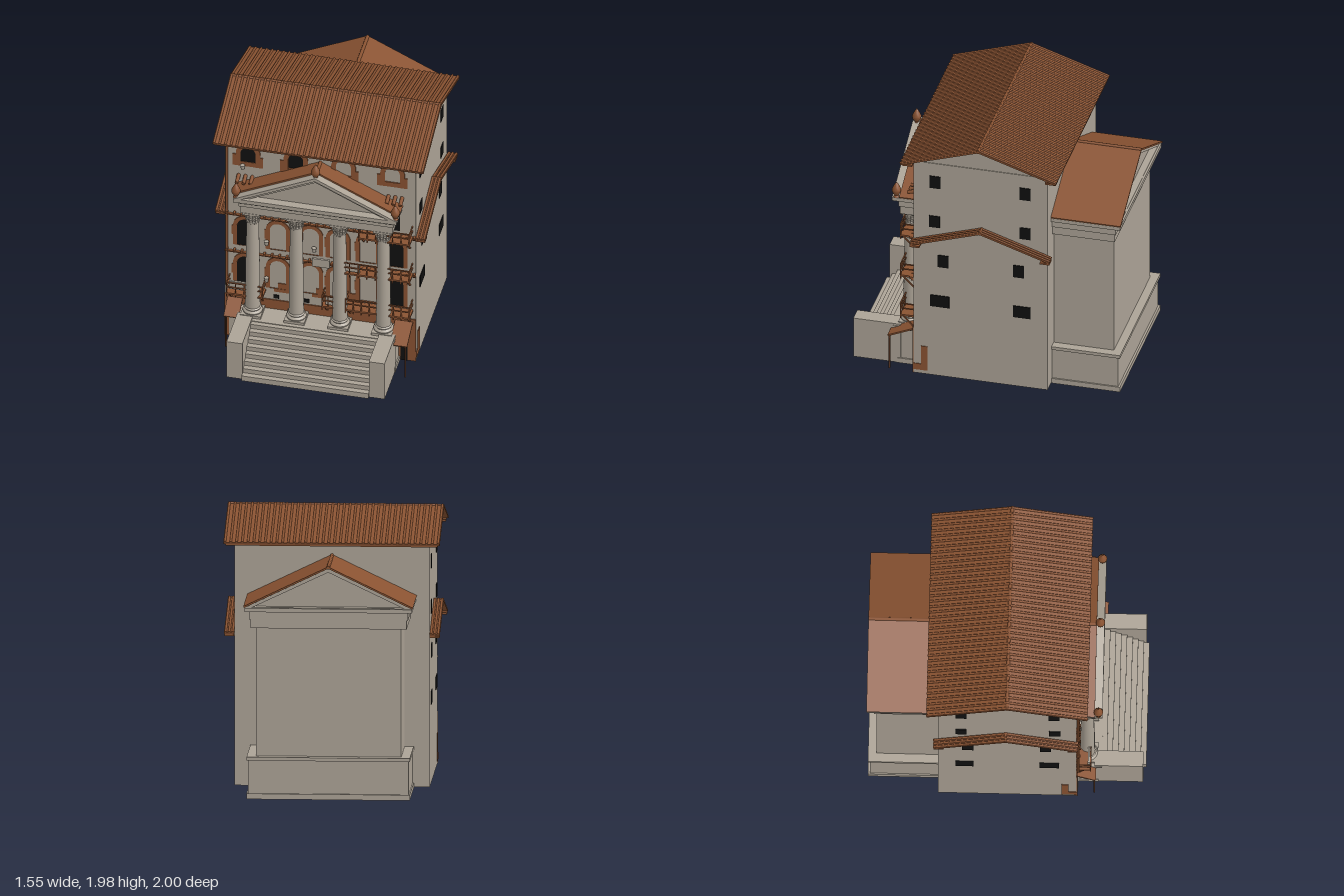
import * as THREE from 'three';
import { mergeGeometries, toCreasedNormals } from 'three/addons/utils/BufferGeometryUtils.js';

const mat = (name, color, side = THREE.FrontSide) => {
  const m = new THREE.MeshStandardMaterial({ color, side });
  m.name = name;
  return m;
};

export function createModel() {
  const model = new THREE.Group();
  const stone = mat('stone', 0xaca396);
  const clay = mat('terracotta', 0x8a5332);
  const wood = mat('darkWood', 0x56331f);
  const black = mat('darkOpening', 0x101010);

  const add = (name, geo, m, parent = model) => {
    const mesh = new THREE.Mesh(geo, m);
    mesh.name = name;
    parent.add(mesh);
    return mesh;
  };
  // box geometry from its limits
  const boxGeo = (x0, x1, y0, y1, z0, z1) =>
    new THREE.BoxGeometry(x1 - x0, y1 - y0, z1 - z0).translate((x0 + x1) / 2, (y0 + y1) / 2, (z0 + z1) / 2);
  const box = (name, m, ...b) => add(name, boxGeo(...b), m);
  const merged = (name, list, m, parent) => add(name, mergeGeometries(list), m, parent);
  const polygon = pts => new THREE.Shape(pts.map(p => new THREE.Vector2(...p)));
  const extrude = (shape, depth, z) =>
    new THREE.ExtrudeGeometry(shape, { depth, bevelEnabled: false, curveSegments: 10 }).translate(0, 0, z);

  // gable roof with its ridge along x, optionally covered by rows of round tiles
  function gableRoof(name, width, run, eaveY, ridgeY, thick, rows, m = clay) {
    const g = new THREE.Group();
    g.name = name;
    const rise = ridgeY - eaveY, len = Math.hypot(run, rise), parts = [], tiles = [];
    for (const s of [1, -1]) {
      const place = geo => geo.rotateX(s * Math.atan2(rise, run)).translate(0, (eaveY + ridgeY) / 2, s * run / 2);
      parts.push(place(new THREE.BoxGeometry(width, thick, len)));
      for (let i = 0; i < rows; i++) {
        const x = -width / 2 + 0.012 + i * (width - 0.024) / Math.max(1, rows - 1);
        tiles.push(place(new THREE.CylinderGeometry(0.009, 0.009, len, 6).rotateX(Math.PI / 2).translate(x, thick / 2, 0)));
      }
    }
    parts.push(new THREE.CylinderGeometry(0.013, 0.013, width, 8).rotateZ(Math.PI / 2).translate(0, ridgeY, 0));
    merged('roofSlopes', parts, m, g);
    if (rows) merged('roofTiles', tiles, m, g);
    model.add(g);
    return g;
  }

  // ---- apartment block
  box('blockWalls', stone, -0.7, 0.7, 0.01, 1.78, -0.485, 0.505);
  const gable = polygon([[-0.5, 1.78], [0.485, 1.78], [0, 1.955]]);
  add('blockGable', extrude(gable, 1.39, -0.695).rotateY(-Math.PI / 2), stone).rotation.y = Math.PI;
  gableRoof('blockRoof', 1.55, 0.575, 1.782, 1.968, 0.014, 38).position.z = 0.01;
  for (const s of [1, -1]) box('eaveBoard', clay, -0.76, 0.76, 1.765, 1.778, s > 0 ? 0.5 : -0.56, s > 0 ? 0.575 : -0.48);

  // side lean-to roofs and side windows
  const windows = [[0.345, 1.625, 0.08, 0.1], [-0.32, 1.625, 0.08, 0.1], [0.35, 1.295, 0.08, 0.095], [-0.32, 1.295, 0.08, 0.095],
    [0.285, 0.97, 0.08, 0.1], [-0.272, 0.97, 0.08, 0.1], [0.31, 0.633, 0.14, 0.095], [-0.295, 0.633, 0.13, 0.095]];
  for (const s of [1, -1]) {
    gableRoof('sideRoof', 0.075, 0.515, 1.118, 1.285, 0.014, 3).position.set(s * 0.7355, 0, 0);
    for (const z of [0.48, -0.48]) add('sideEave', new THREE.BoxGeometry(0.07, 0.014, 0.07), clay).position.set(s * 0.735, 1.105, z);
    const panes = windows.map(([z, y, w, h]) => new THREE.BoxGeometry(0.008, h, w).translate(s * 0.701, y, z));
    merged('sideWindows', panes, black);
    box('sideBrickPatch', clay, s * 0.702 - 0.003, s * 0.702 + 0.003, 0.04, 0.24, 0.4, 0.45);
    box('sideBrickFoot', clay, s * 0.702 - 0.003, s * 0.702 + 0.003, 0.04, 0.09, 0.45, 0.505);
  }

  // ---- street front
  const F = 0.505;
  box('groundFloorBrick', clay, -0.703, 0.703, 0.01, 0.385, F, F + 0.008);
  box('leftDoor', stone, -0.67, -0.59, 0.01, 0.27, F + 0.006, F + 0.012);
  box('rightDoor', black, 0.59, 0.64, 0.01, 0.27, F + 0.006, F + 0.012);
  // arched outline standing on y
  const arch = (x, y, w, h, C = THREE.Shape) => {
    const s = new C(), r = w / 2;
    s.moveTo(x - r, y).lineTo(x + r, y).lineTo(x + r, y + h - r);
    s.absarc(x, y + h - r, r, 0, Math.PI, false);
    s.lineTo(x - r, y);
    return s;
  };
  function archedOpening(x, y, w, h, ring, fill) {
    const surround = arch(x, y, w + ring * 2, h + ring);
    surround.holes.push(arch(x, y + 0.001, w, h, THREE.Path));
    add('brickArch', extrude(surround, 0.008, F), clay);
    if (fill) add('archOpening', extrude(arch(x, y, w, h), 0.004, F), fill);
  }
  [[-0.53, black], [-0.18, black], [0.17, null], [0.53, null]].forEach(([x, fill]) => {
    archedOpening(x, 1.6, 0.11, 0.13, 0.035, fill);
    box('windowBricks', clay, x - 0.115, x - 0.055, 1.56, 1.66, F, F + 0.007);
    box('windowBricks', clay, x + 0.055, x + 0.11, 1.56, 1.65, F, F + 0.007);
    box('windowSill', clay, x - 0.09, x + 0.09, 1.56, 1.6, F, F + 0.006);
  });
  for (const [y, h] of [[0.84, 0.235], [0.49, 0.25]]) {
    for (const x of [-0.55, -0.31, -0.07, 0.13, 0.35, 0.55]) {
      archedOpening(x, y, 0.12, h, 0.03, Math.abs(x) > 0.5 ? black : null);
      box('archBricks', clay, x - 0.1, x - 0.06, y + 0.09, y + 0.17, F, F + 0.006);
    }
  }
  for (const x of [-0.55, 0.55]) box('tallWindow', black, x - 0.035, x + 0.035, 1.17, 1.36, F, F + 0.006);
  for (const x of [-0.28, 0.0, 0.25]) {
    box('brickPatch', clay, x - 0.06, x + 0.06, 0.46, 0.49, F, F + 0.006);
    box('brickPatch', clay, x - 0.03, x + 0.03, 0.49, 0.54, F, F + 0.006);
    box('brickPatch', clay, x - 0.08, x + 0.08, 1.14, 1.23, F, F + 0.006);
  }
  const cellars = [], beams = [];
  for (let i = 0; i < 6; i++) cellars.push(boxGeo(-0.57 + i * 0.225, -0.53 + i * 0.225, 0.4, 0.43, F, F + 0.006));
  for (const y of [0.785, 1.12]) for (let i = 0; i < 26; i++) beams.push(boxGeo(-0.69 + i * 0.055, -0.675 + i * 0.055, y, y + 0.018, F, F + 0.03));
  merged('cellarWindows', cellars, black);
  merged('beamEnds', beams, clay);
  for (const y of [0.775, 1.11]) box('floorBand', clay, -0.7, 0.7, y, y + 0.01, F, F + 0.02);
  add('drainPipe', new THREE.CylinderGeometry(0.009, 0.009, 1.3, 8), clay).position.set(-0.685, 1.12, F + 0.012);

  // balconies with railings and braces
  function balcony(x0, x1, y, posts) {
    const z = 0.61, p = [boxGeo(x0, x1, y, y + 0.014, F, z)];
    for (const h of [0.06, 0.1]) {
      p.push(boxGeo(x0, x1, y + h, y + h + 0.008, z - 0.008, z));
      for (const x of [x0, x1 - 0.008]) p.push(boxGeo(x, x + 0.008, y + h, y + h + 0.008, F, z));
    }
    for (let i = 0; i <= posts; i++) {
      const x = x0 + (x1 - x0 - 0.008) * i / posts;
      p.push(boxGeo(x, x + 0.008, y - 0.02, y + 0.108, z - 0.008, z));
    }
    for (const x of [x0 + 0.02, x1 - 0.02])
      p.push(new THREE.BoxGeometry(0.009, 0.009, 0.13).rotateX(-Math.PI / 4).translate(x, y - 0.045, F + 0.05));
    merged('balcony', p, clay);
  }
  balcony(0.3, 0.68, 1.12, 6);
  balcony(0.17, 0.68, 0.785, 8);
  balcony(0.2, 0.68, 0.455, 8);
  balcony(0.03, 0.17, 0.455, 3);
  balcony(-0.67, -0.4, 0.455, 4);
  for (const [x, y] of [[-0.65, 0.5], [0.18, 0.81], [0.06, 0.48], [-0.04, 0.81]])
    box('balconyPanel', stone, x, x + 0.13, y, y + 0.07, 0.585, 0.6);
  for (const [x, y] of [[-0.565, 1.55], [-0.565, 1.22], [-0.39, 0.89], [-0.04, 0.89], [-0.39, 0.56]])
    add('flowerPot', new THREE.CylinderGeometry(0.018, 0.012, 0.035, 8), stone).position.set(x, y + 0.018, F + 0.03);
  for (const s of [1, -1]) merged('roofBeams', [0.5, 0.55, 0.6].map(x =>
    new THREE.CylinderGeometry(0.014, 0.014, 0.08, 8).rotateX(Math.PI / 2 + 0.3).translate(s * x, 1.46, 0.535)), clay);

  // shop awnings on poles
  for (const [x0, x1, z] of [[0.55, 0.68, 0.7], [-0.68, -0.57, 0.64]]) {
    const run = z - F, drop = 0.085;
    add('awning', new THREE.BoxGeometry(x1 - x0, 0.012, Math.hypot(run, drop)).rotateX(Math.atan2(drop, run)), clay)
      .position.set((x0 + x1) / 2, 0.318, F + run / 2);
    const px = x0 > 0 ? x1 - 0.015 : x0 + 0.015;
    add('awningPole', new THREE.CylinderGeometry(0.007, 0.007, 0.275, 6), wood).position.set(px, 0.1375, z - 0.008);
  }

  // ---- temple podium and stairs
  box('podium', stone, -0.575, 0.575, 0, 0.29, -0.975, 0.67);
  box('podiumFoot', stone, -0.585, 0.585, 0, 0.04, -0.99, 0.66);
  box('podiumCap', stone, -0.585, 0.585, 0.28, 0.305, -0.99, 0.685);
  for (const s of [1, -1]) box('stairCheek', stone, s * 0.522 - 0.058, s * 0.522 + 0.058, 0, 0.32, 0.63, 0.98);
  const steps = [];
  for (let i = 0; i < 8; i++) steps.push(boxGeo(-0.465, 0.465, 0, 0.3 - i * 0.0365, 0.65, 0.72 + i * 0.04));
  merged('stairs', steps, stone);

  // cella, entablature and cornice
  box('cella', stone, -0.52, 0.52, 0.3, 1.25, -0.93, 0.4);
  box('architrave', stone, -0.56, 0.56, 1.235, 1.3, -0.945, 0.64);
  box('frieze', stone, -0.57, 0.57, 1.3, 1.36, -0.955, 0.65);
  box('cornice', stone, -0.6, 0.6, 1.36, 1.388, -0.995, 0.69);
  const dentils = [];
  for (let i = 0; i < 28; i++) dentils.push(boxGeo(-0.565 + i * 0.041, -0.542 + i * 0.041, 1.34, 1.362, 0.64, 0.67));
  merged('dentils', dentils, stone);

  // pediments
  const tri = (w, y0, y1) => [[-w, y0], [w, y0], [0, y1]];
  add('pedimentBody', extrude(polygon(tri(0.57, 1.385, 1.66)), 1.56, -0.93), stone);
  const rake = (inset, depth, z) => {
    const s = polygon(tri(0.6, 1.388, 1.678));
    s.holes.push(new THREE.Path(tri(0.6 - inset * 2.6, 1.392, 1.678 - inset * 1.25).map(p => new THREE.Vector2(...p))));
    add('rakingCornice', extrude(s, depth, z), stone);
  };
  rake(0.022, 0.06, 0.63);
  rake(0.045, 0.035, 0.63);
  rake(0.022, 0.05, -0.98);
  const templeRoof = gableRoof('templeRoof', 1.635, 0.605, 1.396, 1.688, 0.012, 0);
  templeRoof.rotation.y = Math.PI / 2;
  templeRoof.position.z = -0.1825;

  // roof finials
  const bud = [[0, 0], [0.022, 0], [0.014, 0.015], [0.03, 0.04], [0.034, 0.06], [0.024, 0.085], [0.009, 0.112], [0, 0.125]];
  const lathe = (pts, n) => toCreasedNormals(new THREE.LatheGeometry(pts.map(p => new THREE.Vector2(...p)), n), 0.7);
  for (const [x, y] of [[0, 1.66], [-0.585, 1.39], [0.585, 1.39]])
    add('finial', lathe(bud, 12), clay).position.set(x, y, 0.66);

  // columns with moulded bases and leafy capitals
  const shaft = lathe([[0, 0.325], [0.07, 0.325], [0.073, 0.336], [0.066, 0.347], [0.058, 0.352], [0.064, 0.362], [0.055, 0.372],
    [0.053, 0.45], [0.051, 0.75], [0.044, 1.13], [0.049, 1.135], [0.049, 1.145], [0.042, 1.15], [0.045, 1.19], [0.062, 1.222], [0, 1.222]], 20);
  const leaves = [];
  for (const [y, r, n] of [[1.165, 0.05, 8], [1.195, 0.057, 8]])
    for (let i = 0; i < n; i++)
      leaves.push(new THREE.BoxGeometry(0.02, 0.032, 0.01).rotateX(0.3).translate(0, y, r).rotateY((i + (y > 1.18 ? 0.5 : 0)) * Math.PI * 2 / n));
  const leafGeo = mergeGeometries(leaves);
  for (const x of [-0.48, -0.16, 0.16, 0.48]) {
    const column = new THREE.Group();
    column.name = 'column';
    column.position.set(x, 0, 0.58);
    add('columnShaft', shaft, stone, column);
    add('capitalLeaves', leafGeo, stone, column);
    add('columnPlinth', boxGeo(-0.075, 0.075, 0.3, 0.326, -0.075, 0.075), stone, column);
    add('columnAbacus', boxGeo(-0.063, 0.063, 1.22, 1.238, -0.063, 0.063), stone, column);
    model.add(column);
  }
  return model;
}
